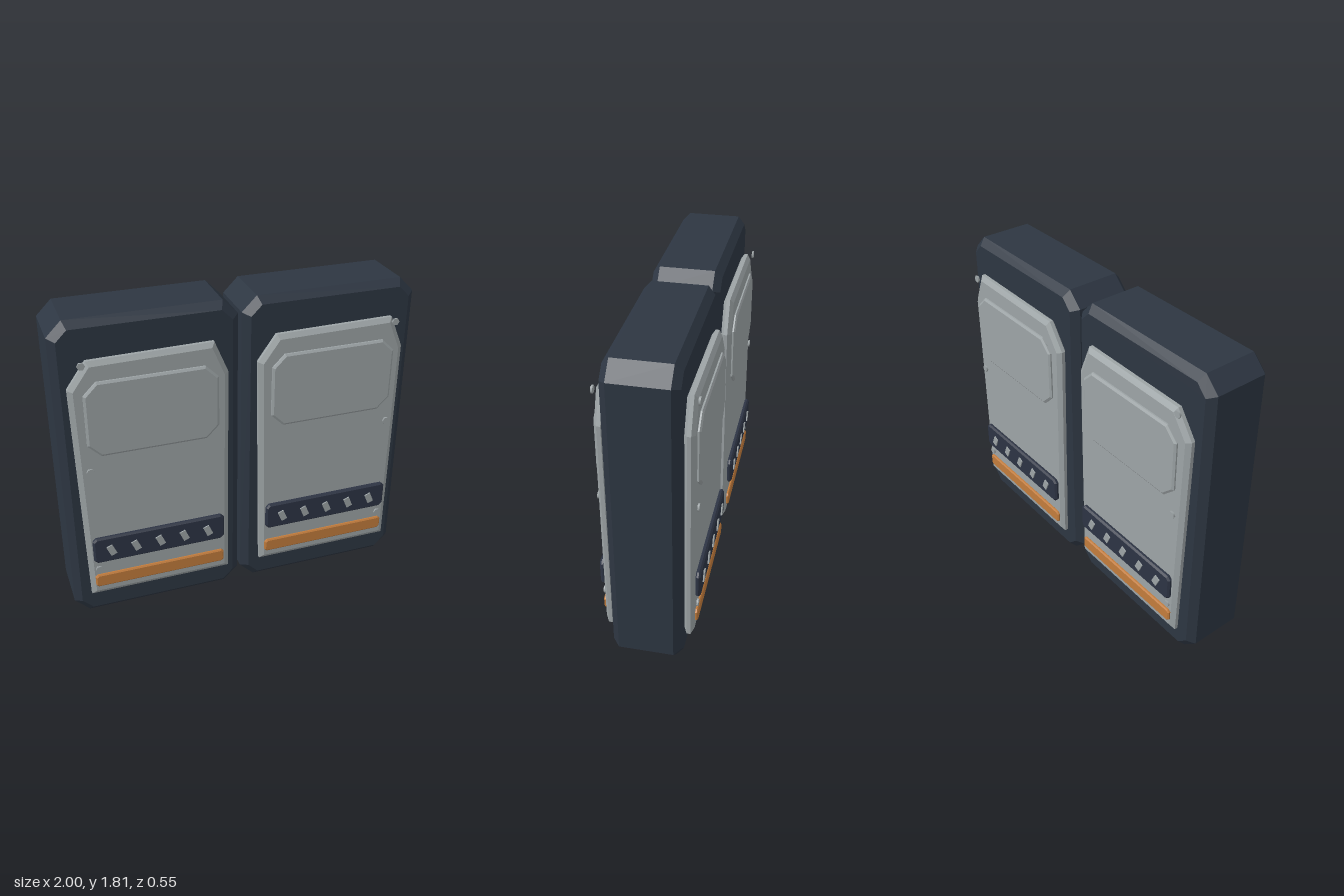
import * as THREE from 'three';

const mat = (name, color) => {
  const m = new THREE.MeshStandardMaterial({ color });
  m.name = name;
  return m;
};

// Chamfered plate, centred on z = 0; the bevel stays inside the outline.
function plateGeometry(points, thickness, bevelSize, bevelThickness) {
  const shape = new THREE.Shape(points.map(([x, y]) => new THREE.Vector2(x, y)));
  const depth = thickness - 2 * bevelThickness;
  const g = new THREE.ExtrudeGeometry(shape, {
    depth, bevelEnabled: true, bevelSegments: 1,
    bevelSize, bevelThickness, bevelOffset: -bevelSize,
  });
  return g.translate(0, 0, -depth / 2);
}

// Rectangle outline with cut corners, centred on x = 0.
function cutRect(w, y0, y1, c) {
  const h = w / 2;
  return [[-h + c, y0], [h - c, y0], [h, y0 + c], [h, y1 - c],
    [h - c, y1], [-h + c, y1], [-h, y1 - c], [-h, y0 + c]];
}

export function createModel() {
  const model = new THREE.Group();
  model.name = 'doubleDoor';

  const navy = mat('navyFrame', 0x2d3642);
  const darkTrim = mat('darkTrim', 0x2d3444);
  const steel = mat('steelGrey', 0x9da4a6);
  const orange = mat('orangeStripe', 0xc27c3c);

  // Shared part shapes, in door-local x
  const slab = plateGeometry(cutRect(0.99, 0, 1.81, 0.083), 0.374, 0.04, 0.038);
  const panel = plateGeometry([[-0.401, 0.17], [0.411, 0.17], [0.417, 1.44],
    [0.342, 1.62], [-0.325, 1.61], [-0.428, 1.465]], 0.056, 0.026, 0.018);
  const windowPlate = plateGeometry(cutRect(0.712, 1.077, 1.503, 0.07), 0.024, 0.012, 0.008);
  const ventStrip = plateGeometry(cutRect(0.754, 0.402, 0.566, 0.02), 0.03, 0.01, 0.01);
  const stripe = plateGeometry(cutRect(0.754, 0.232, 0.312, 0.014), 0.02, 0.008, 0.006);
  const slit = new THREE.BoxGeometry(0.036, 0.064, 0.016);
  const bolt = new THREE.CylinderGeometry(0.021, 0.021, 0.01, 6)
    .rotateY(Math.PI / 6).rotateX(Math.PI / 2);

  for (const side of [-1, 1]) {
    const door = new THREE.Group();
    door.name = side < 0 ? 'rightDoor' : 'leftDoor';
    door.position.x = side * 0.505;
    model.add(door);

    const add = (name, geometry, material, x = 0, y = 0, z = 0) => {
      const m = new THREE.Mesh(geometry, material);
      m.name = name;
      m.position.set(x, y, z);
      door.add(m);
      return m;
    };

    add('doorSlab', slab, navy);

    // Same fittings on the front and back faces
    for (const f of [1, -1]) {
      const face = f > 0 ? 'front' : 'back';
      add(face + 'Panel', panel, steel, 0, 0, f * 0.214);
      add(face + 'WindowPlate', windowPlate, steel, 0, 0, f * 0.247);
      add(face + 'VentStrip', ventStrip, darkTrim, 0, 0, f * 0.253);
      add(face + 'Stripe', stripe, orange, 0, 0, f * 0.247);
      for (let i = -2; i <= 2; i++) {
        add(face + 'VentSlit', slit, steel, i * 0.139, 0.481, f * 0.267).rotation.z = 0.4;
      }
      for (const y of [0.352, 0.99, 1.6]) {
        add(face + 'Bolt', bolt, steel, side * 0.352, y, f * 0.252);
      }
    }
  }
  return model;
}
